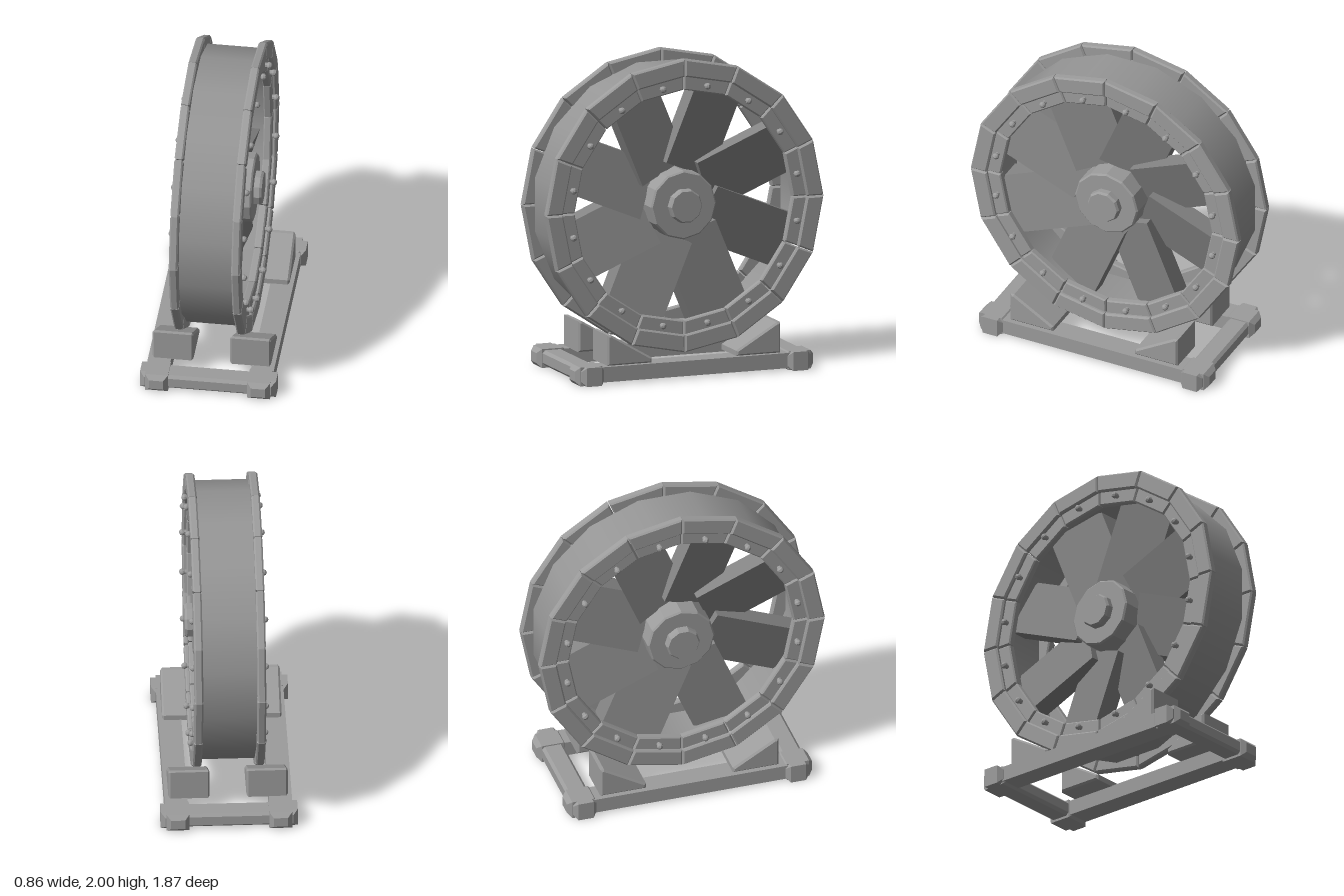
import * as THREE from 'three';

const SEGMENTS = 16;
const STEP = (Math.PI * 2) / SEGMENTS;
const steel = new THREE.MeshStandardMaterial({ color: 0x9c9c9c, flatShading: true });
const drumSteel = new THREE.MeshStandardMaterial({ color: 0x959595 });
const bladeSteel = new THREE.MeshStandardMaterial({ color: 0x848484, flatShading: true });

function mesh(name, geometry, parent, material = steel) {
  const m = new THREE.Mesh(geometry, material);
  m.name = name;
  parent.add(m);
  return m;
}

// Extruded outline with chamfered edges, centred on its depth; the outline is the outer size.
function chamfered(points, depth, bevel) {
  const shape = new THREE.Shape(points.map(([x, y]) => new THREE.Vector2(x, y)));
  const g = new THREE.ExtrudeGeometry(shape, {
    depth: depth - 2 * bevel, steps: 1, bevelEnabled: true, bevelSegments: 1,
    bevelSize: bevel, bevelThickness: bevel, bevelOffset: -bevel,
  });
  return g.translate(0, 0, -depth / 2 + bevel);
}

// Chamfered box given by its limits on each axis.
function block(name, [x0, x1], [y0, y1], [z0, z1], bevel, parent) {
  const w = (x1 - x0) / 2, h = (y1 - y0) / 2;
  const g = chamfered([[-w, -h], [w, -h], [w, h], [-w, h]], z1 - z0, bevel);
  mesh(name, g, parent).position.set((x0 + x1) / 2, (y0 + y1) / 2, (z0 + z1) / 2);
}

// One straight piece of a ring, lying in the YZ plane at the top of the wheel.
function ringPiece(inner, outer, thickness, bevel, gap) {
  const s = Math.sin(STEP / 2), c = Math.cos(STEP / 2);
  const g = chamfered([
    [-inner * s + gap, inner * c], [inner * s - gap, inner * c],
    [outer * s - gap, outer * c], [-outer * s + gap, outer * c],
  ], thickness, bevel);
  return g.rotateY(Math.PI / 2);
}

// Turned part around the wheel axis.
function turned(points, sides, start = 0) {
  const profile = points.map(([r, y]) => new THREE.Vector2(r, y));
  return new THREE.LatheGeometry(profile, sides, start).rotateZ(Math.PI / 2);
}

function createWheel() {
  const wheel = new THREE.Group();
  wheel.name = 'wheel';

  // Drum wall, outside and inside
  mesh('drumOuter', turned([[0.875, -0.18], [0.875, 0.18]], SEGMENTS, STEP / 2), wheel, drumSteel);
  mesh('drumInner', turned([[0.81, 0.18], [0.81, -0.18]], SEGMENTS, STEP / 2), wheel, drumSteel);

  // Rim plates, recessed inner plates and bolts on both sides
  const rimPlate = ringPiece(0.825, 0.937, 0.055, 0.01, 0.002);
  const innerPlate = ringPiece(0.738, 0.835, 0.05, 0.008, 0.003);
  const bolt = new THREE.SphereGeometry(0.021, 8, 6);
  const shank = new THREE.CylinderGeometry(0.015, 0.015, 0.04, 8).rotateZ(Math.PI / 2);
  for (const side of [1, -1]) {
    for (let i = 0; i < SEGMENTS; i++) {
      const section = new THREE.Group();
      section.name = 'rimSection';
      section.rotation.x = (i + 0.5) * STEP;
      mesh('rimPlate', rimPlate, section).position.x = side * 0.1975;
      mesh('innerPlate', innerPlate, section).position.x = side * 0.177;
      mesh('bolt', bolt, section).position.set(side * 0.229, 0.77, 0);
      mesh('boltShank', shank, section).position.set(side * 0.21, 0.77, 0);
      wheel.add(section);
    }
  }

  // Thick fan blades, sheared along the axis so each one overlaps the next
  const bladeShape = new THREE.BoxGeometry(0.14, 0.6, 0.36);
  const p = bladeShape.attributes.position;
  for (let i = 0; i < p.count; i++) p.setX(i, p.getX(i) + p.getZ(i) * 0.28);
  for (let i = 0; i < 8; i++) {
    const arm = new THREE.Group();
    arm.name = 'fanBlade';
    arm.rotation.x = (i + 0.5) * Math.PI / 4;
    mesh('blade', bladeShape, arm, bladeSteel).position.y = 0.51;
    wheel.add(arm);
  }

  // Hub with a chamfered cap at each end
  mesh('hub', turned([[0, -0.2], [0.21, -0.2], [0.22, -0.19], [0.22, 0.19], [0.21, 0.2], [0, 0.2]], 12), wheel);
  mesh('hubCap', turned([[0, -0.25], [0.1, -0.25], [0.11, -0.235], [0.11, 0.235], [0.1, 0.25], [0, 0.25]], 10), wheel);
  return wheel;
}

function createBase() {
  const base = new THREE.Group();
  base.name = 'base';
  const span = (a, b, s) => (s > 0 ? [a, b] : [-b, -a]);

  const wedge = chamfered([
    [0.285, 0.11], [0.585, 0.11], [0.585, 0.307], [0.56, 0.307], [0.285, 0.145],
  ], 0.26, 0.012).rotateY(-Math.PI / 2);

  for (const s of [1, -1]) {
    // Long side rails and end rails
    block('sideRail', span(0.255, 0.4, s), [0.015, 0.112], [-0.7, 0.7], 0.018, base);
    block('endRail', [-0.33, 0.33], [0.015, 0.112], span(0.635, 0.775, s), 0.018, base);

    for (const t of [1, -1]) {
      // Corner sleeves, one around each rail end
      block('cornerSleeve', span(0.25, 0.43, s), [0, 0.12], span(0.62, 0.775, t), 0.028, base);
      block('cornerSleeve', span(0.25, 0.395, s), [0, 0.12], span(0.605, 0.805, t), 0.028, base);

      // Wedge chock holding the wheel
      const chock = mesh('wedgeChock', wedge, base);
      chock.position.x = s * 0.245;
      chock.rotation.y = t > 0 ? 0 : Math.PI;
    }
  }
  return base;
}

export function createModel() {
  const model = new THREE.Group();
  model.name = 'wheelOnStand';
  const wheel = createWheel();
  wheel.position.y = 1.065;
  model.add(wheel, createBase());
  return model;
}
